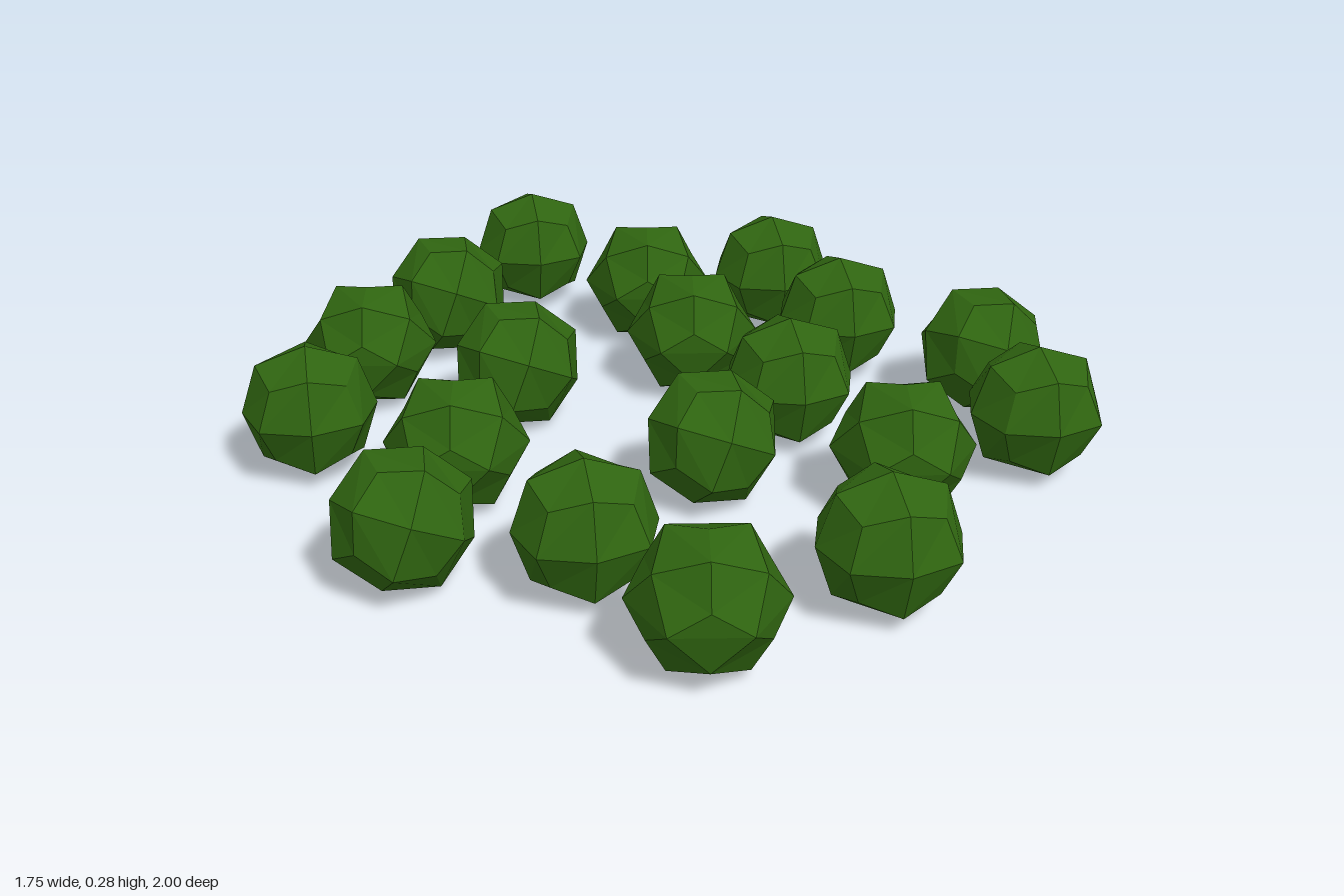
import * as THREE from 'three';

const RADIUS = 0.1385;

// Faceted ball: a cube subdivided once into 24 kite-shaped faces
function ballGeometry() {
  const geo = new THREE.BoxGeometry(2, 2, 2, 2, 2, 2);
  const pos = geo.attributes.position;
  const scale = [0, 1, 0.75, 0.556]; // face centre, edge middle, corner
  const v = new THREE.Vector3();
  for (let i = 0; i < pos.count; i++) {
    v.fromBufferAttribute(pos, i).round();
    const kind = Math.abs(v.x) + Math.abs(v.y) + Math.abs(v.z);
    v.multiplyScalar(scale[kind] * RADIUS);
    pos.setXYZ(i, v.x, v.y, v.z);
  }
  geo.computeVertexNormals();
  return geo;
}

// Rotation taking local "up" to +y, with local "ref" heading at an angle from +x towards +z
function orient(up, ref, degrees) {
  const a = THREE.MathUtils.degToRad(degrees);
  const u = new THREE.Vector3(...up).normalize();
  const r = new THREE.Vector3(...ref);
  r.addScaledVector(u, -r.dot(u)).normalize();
  const local = new THREE.Matrix4().makeBasis(r, u, r.clone().cross(u));
  const y = new THREE.Vector3(0, 1, 0);
  const d = new THREE.Vector3(Math.cos(a), 0, Math.sin(a));
  const world = new THREE.Matrix4().makeBasis(d, y, d.clone().cross(y));
  return new THREE.Quaternion().setFromRotationMatrix(world.multiply(local.transpose()));
}

export function createModel() {
  const group = new THREE.Group();
  group.name = 'scatteredBalls';
  const geometry = ballGeometry();
  const material = new THREE.MeshStandardMaterial({ color: 0x2f6410, flatShading: true });

  // Three resting poses: upright, on a face, on a corner
  const poses = {
    upright: new THREE.Quaternion(),
    face: orient([0.87, 0.348, 0.348], [1, 0, 0], -45),
    corner: orient([1, 1, 1], [1, 1, 0], 100),
  };

  // Ball centres (x, z) by pose
  const layout = {
    upright: [[-0.16, -0.862], [0.39, -0.583], [0.474, -0.286], [-0.738, -0.02],
      [0.272, 0.032], [0.733, 0.275], [-0.257, 0.578], [0.272, 0.735]],
    face: [[-0.4, -0.588], [-0.288, -0.16], [0.733, -0.039], [0.05, 0.273], [-0.582, 0.488]],
    corner: [[0.08, -0.581], [-0.598, -0.33], [0.122, -0.257], [-0.455, 0.194],
      [0.413, 0.384], [-0.09, 0.862]],
  };

  for (const [pose, centres] of Object.entries(layout)) {
    centres.forEach(([x, z], i) => {
      const ball = new THREE.Mesh(geometry, material);
      ball.name = `${pose}Ball${i + 1}`;
      ball.position.set(x, RADIUS, z);
      ball.quaternion.copy(poses[pose]);
      group.add(ball);
    });
  }
  return group;
}
